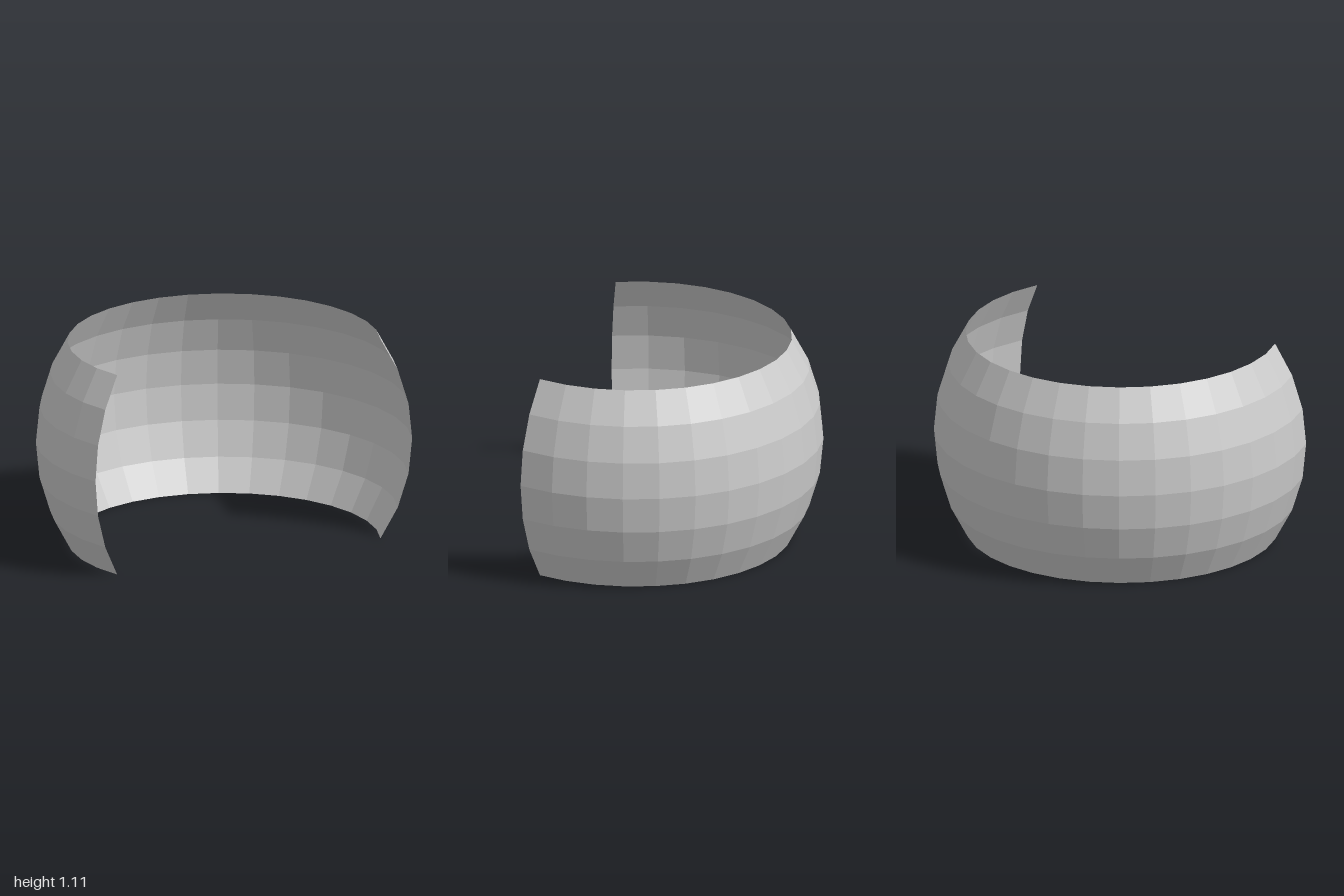
import * as THREE from 'three';

export function createModel() {
  const group = new THREE.Group();
  const rad = THREE.MathUtils.degToRad;

  // Open spherical band: 20 facets around 225 degrees, 6 facets high
  const step = 11.25;
  const around = 20;
  const high = 6;
  const geometry = new THREE.SphereGeometry(
    1, around, high,
    rad(157.5), rad(step * around),
    rad(90 - step * high / 2), rad(step * high)
  );
  const material = new THREE.MeshStandardMaterial({
    color: 0xcccccc, flatShading: true, side: THREE.DoubleSide
  });
  const band = new THREE.Mesh(geometry, material);
  band.name = 'curvedBand';

  // Stand on the ground with the opening facing the front
  band.position.set(0, Math.sin(rad(step * high / 2)), (1 - Math.sin(rad(22.5))) / 2);
  group.add(band);
  return group;
}
